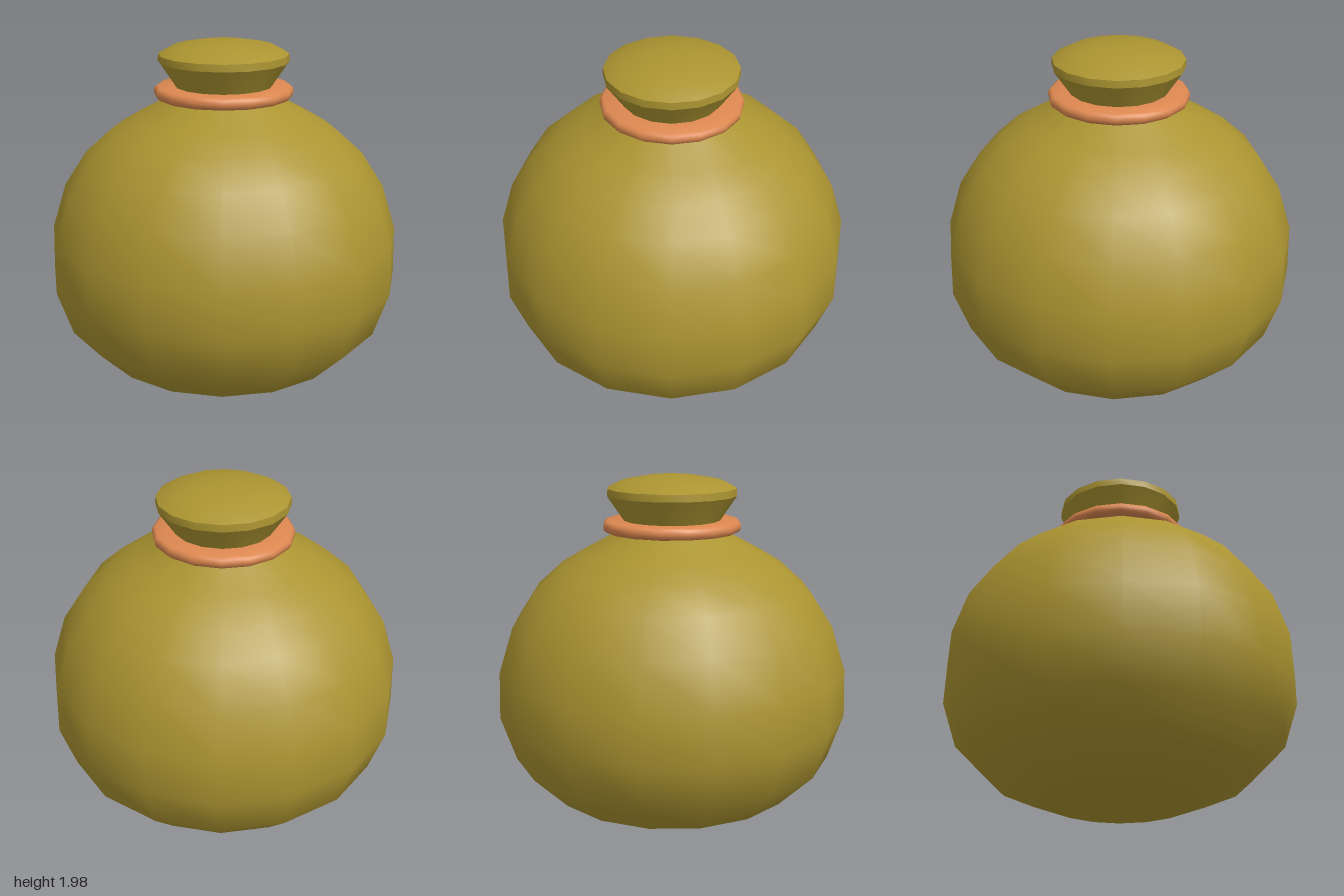
import * as THREE from 'three';
import { toCreasedNormals } from 'three/addons/utils/BufferGeometryUtils.js';

const SIDES = 16;

// Turned part from [radius, height] pairs, listed bottom to top along the outside
function turned(name, profile, material, crease) {
  const points = profile.map(([r, y]) => new THREE.Vector2(r, y));
  let geometry = new THREE.LatheGeometry(points, SIDES);
  if (crease) geometry = toCreasedNormals(geometry, crease);
  const mesh = new THREE.Mesh(geometry, material);
  mesh.name = name;
  return mesh;
}

export function createModel() {
  const cloth = new THREE.MeshStandardMaterial({ color: 0xab9431 });
  cloth.name = 'olive cloth';
  const cord = new THREE.MeshStandardMaterial({ color: 0xdd8850 });
  cord.name = 'orange cord';

  const model = new THREE.Group();
  model.name = 'tiedPouch';

  // Round, bottom-heavy body, closing in to the neck
  model.add(turned('body', [
    [0, 0.005], [0.4, 0.05], [0.715, 0.175], [0.915, 0.375], [1, 0.63],
    [0.992, 0.895], [0.912, 1.15], [0.785, 1.345], [0.64, 1.475],
    [0.5, 1.558], [0.28, 1.677], [0.26, 1.7],
  ], cloth));

  // Flared mouth with a narrow rim and a shallow domed top
  model.add(turned('mouth', [
    [0.25, 1.69], [0.275, 1.735], [0.365, 1.868], [0.363, 1.908],
    [0.28, 1.95], [0.14, 1.975], [0, 1.981],
  ], cloth, 0.55));

  // Flat ring of cord around the neck
  model.add(turned('neckRing', [
    [0.24, 1.668], [0.37, 1.668], [0.386, 1.68], [0.39, 1.7],
    [0.386, 1.72], [0.37, 1.732], [0.24, 1.732],
  ], cord, 0.9));

  return model;
}
